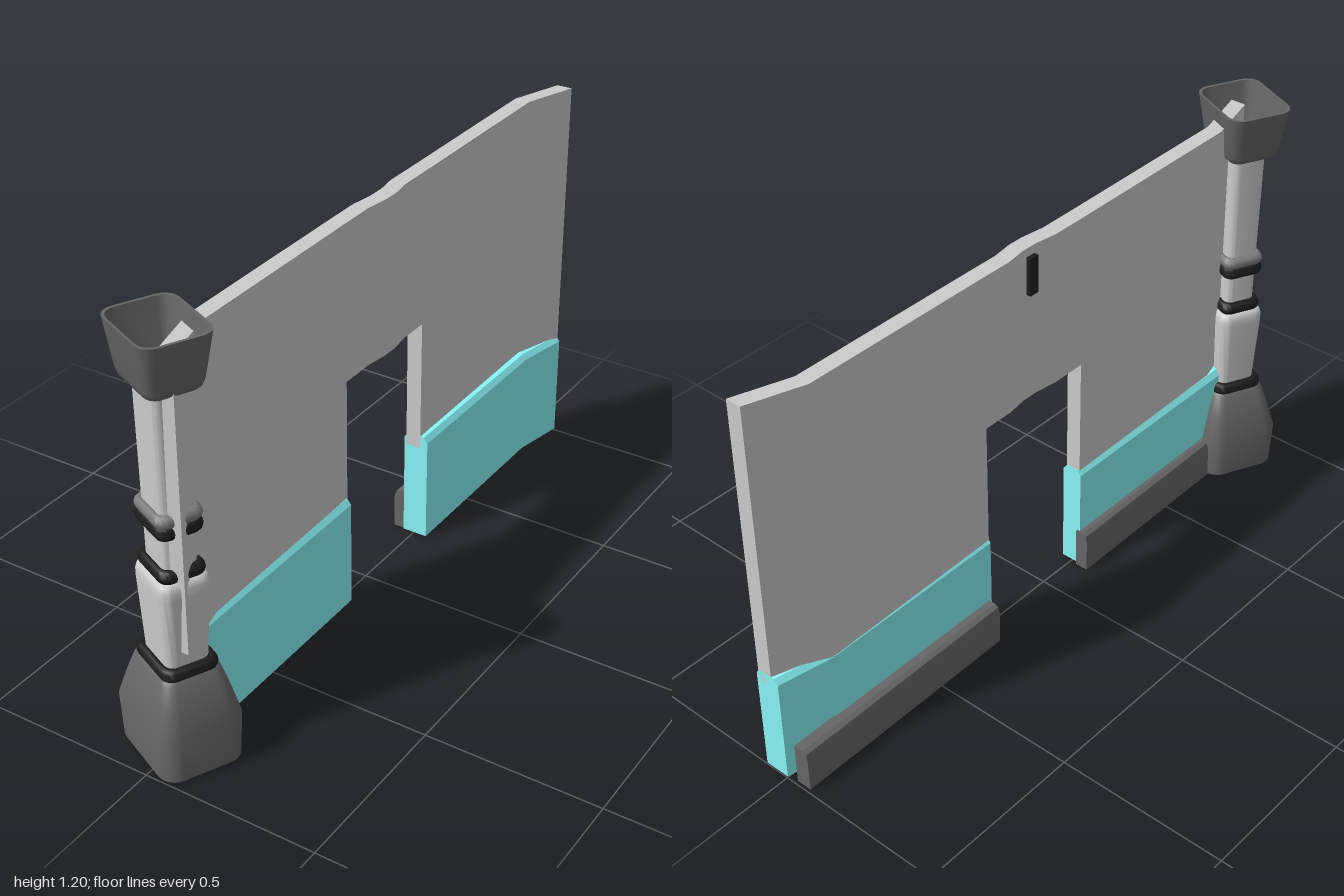
import * as THREE from 'three';
import { toCreasedNormals } from 'three/addons/utils/BufferGeometryUtils.js';

const paint = (color) => new THREE.MeshStandardMaterial({ color, side: THREE.DoubleSide });
const grey = paint(0xcccccc);
const teal = paint(0x88f5f7);
const dark = paint(0x666666);
const black = paint(0x1c1c1c);
const midGrey = paint(0x7c7c7c);

function toGeometry(positions, index, crease) {
  const g = new THREE.BufferGeometry();
  g.setAttribute('position', new THREE.Float32BufferAttribute(positions, 3));
  g.setIndex(index);
  return toCreasedNormals(g, crease);
}

// Sweep a convex [x, y] profile (counter-clockwise) along an [x, z] path running towards +z
function sweep(profile, path) {
  const n = profile.length, pos = [], idx = [];
  for (const [px, pz] of path) for (const [x, y] of profile) pos.push(px + x, y, pz);
  for (let s = 0; s < path.length - 1; s++) {
    for (let i = 0; i < n; i++) {
      const a = s * n + i, b = s * n + (i + 1) % n;
      idx.push(a, b, b + n, a, b + n, a + n);
    }
  }
  const end = (path.length - 1) * n;
  for (let i = 1; i < n - 1; i++) {
    idx.push(0, i + 1, i);
    idx.push(end, end + i, end + i + 1);
  }
  return toGeometry(pos, idx, 0.35);
}

// Loft rounded rectangles through [half width, y] sections
const DEPTH = 0.82, ARC = 6;
function loft(sections, crease = 0.7) {
  const pos = [], idx = [], n = 4 * (ARC + 1);
  for (const [h, y] of sections) {
    const r = h * 0.35;
    for (let c = 0; c < 4; c++) {
      const sx = c === 0 || c === 3 ? 1 : -1, sz = c < 2 ? 1 : -1;
      for (let k = 0; k <= ARC; k++) {
        const t = (c + k / ARC) * Math.PI / 2;
        pos.push(sx * (h - r) + r * Math.cos(t), y, sz * (h * DEPTH - r) + r * Math.sin(t));
      }
    }
  }
  for (let s = 0; s < sections.length - 1; s++) {
    for (let i = 0; i < n; i++) {
      const a = s * n + i, b = s * n + (i + 1) % n;
      idx.push(a, a + n, b + n, a, b + n, b);
    }
  }
  return toGeometry(pos, idx, crease);
}

// Rounded band around the column
function ring(h, y, tube, half) {
  const sections = [];
  for (let i = 0; i <= 12; i++) {
    const t = -Math.PI / 2 + i / 12 * Math.PI * 2;
    sections.push([h + tube * Math.cos(t), y + half * Math.sin(t)]);
  }
  return loft(sections, 1.2);
}

const rect = (x0, x1, y0, y1) => [[x0, y0], [x1, y0], [x1, y1], [x0, y1]];

export function createModel() {
  const model = new THREE.Group();
  model.name = 'wallWithDoorway';
  const add = (parent, name, geometry, material) => {
    const mesh = new THREE.Mesh(geometry, material);
    mesh.name = name;
    parent.add(mesh);
  };

  // Wall: two panels and a lintel over the doorway
  const T = 0.023;
  const backPath = [[0.044, -1], [-0.008, -0.84], [-0.003, -0.255]];
  const doorPath = [[-0.003, -0.255], [-0.003, -0.16], [0.006, -0.1], [0.006, -0.05], [-0.003, 0.02], [-0.002, 0.125]];
  const frontPath = [[-0.002, 0.125], [0.008, 0.73], [0.055, 0.905]];
  add(model, 'backWallPanel', sweep(rect(-T, T, 0.3, 1.155), backPath), grey);
  add(model, 'lintel', sweep(rect(-T, T, 0.7, 1.155), doorPath), grey);
  add(model, 'frontWallPanel', sweep(rect(-T, T, 0.34, 1.155), frontPath), grey);

  // Skirting with chamfered top
  const skirting = (w) => [[-w, 0.005], [w, 0.005], [w, 0.322], [w - 0.012, 0.338], [-w + 0.012, 0.338], [-w, 0.322]];
  add(model, 'backSkirting', sweep(skirting(0.038), [[0.036, -1], [0.006, -0.84], [0.006, -0.255]]), teal);
  add(model, 'frontSkirting', sweep(skirting(0.031), [[0.002, 0.125], [0.004, 0.82]]), teal);

  // Kerbs, rounded on the outer top edge
  const kerb = (w) => [[-w, 0], [w, 0], [w, 0.125], [-w + 0.018, 0.125], [-w + 0.005, 0.118], [-w, 0.1]];
  add(model, 'backKerb', sweep(kerb(0.023), [[-0.051, -0.99], [-0.047, -0.265]]), dark);
  add(model, 'frontKerb', sweep(kerb(0.02), [[-0.04, 0.12], [-0.034, 0.76]]), dark);

  // Small plate high on the wall
  const plate = new THREE.BoxGeometry(0.02, 0.11, 0.03);
  plate.translate(-0.02, 1.075, -0.07);
  add(model, 'wallPlate', plate, black);

  // Column, turned in plan
  const column = new THREE.Group();
  column.name = 'column';
  column.position.set(0, 0, 0.853);
  column.rotation.y = -25 * Math.PI / 180;
  model.add(column);

  add(column, 'columnBase', loft([[0.001, 0.005], [0.137, 0.005], [0.143, 0.13], [0.12, 0.205], [0.1, 0.262], [0.092, 0.272], [0.07, 0.275]]), dark);
  add(column, 'lowerShaft', loft([[0.07, 0.27], [0.076, 0.38], [0.083, 0.5], [0.083, 0.522], [0.079, 0.536], [0.07, 0.543], [0.058, 0.544]]), grey);
  add(column, 'upperShaft', loft([[0.056, 0.54], [0.062, 1.055]]), grey);
  // Open, hollow capital
  add(column, 'capital', loft([[0.06, 1.045], [0.08, 1.047], [0.09, 1.056], [0.096, 1.072], [0.117, 1.2], [0.109, 1.2], [0.089, 1.075], [0.06, 1.06]]), dark);

  add(column, 'baseRing', ring(0.077, 0.281, 0.017, 0.018), black);
  add(column, 'middleRing', ring(0.06, 0.556, 0.016, 0.019), black);
  add(column, 'upperRing', ring(0.06, 0.68, 0.016, 0.02), black);
  add(column, 'upperCollar', ring(0.06, 0.711, 0.016, 0.018), midGrey);

  return model;
}
